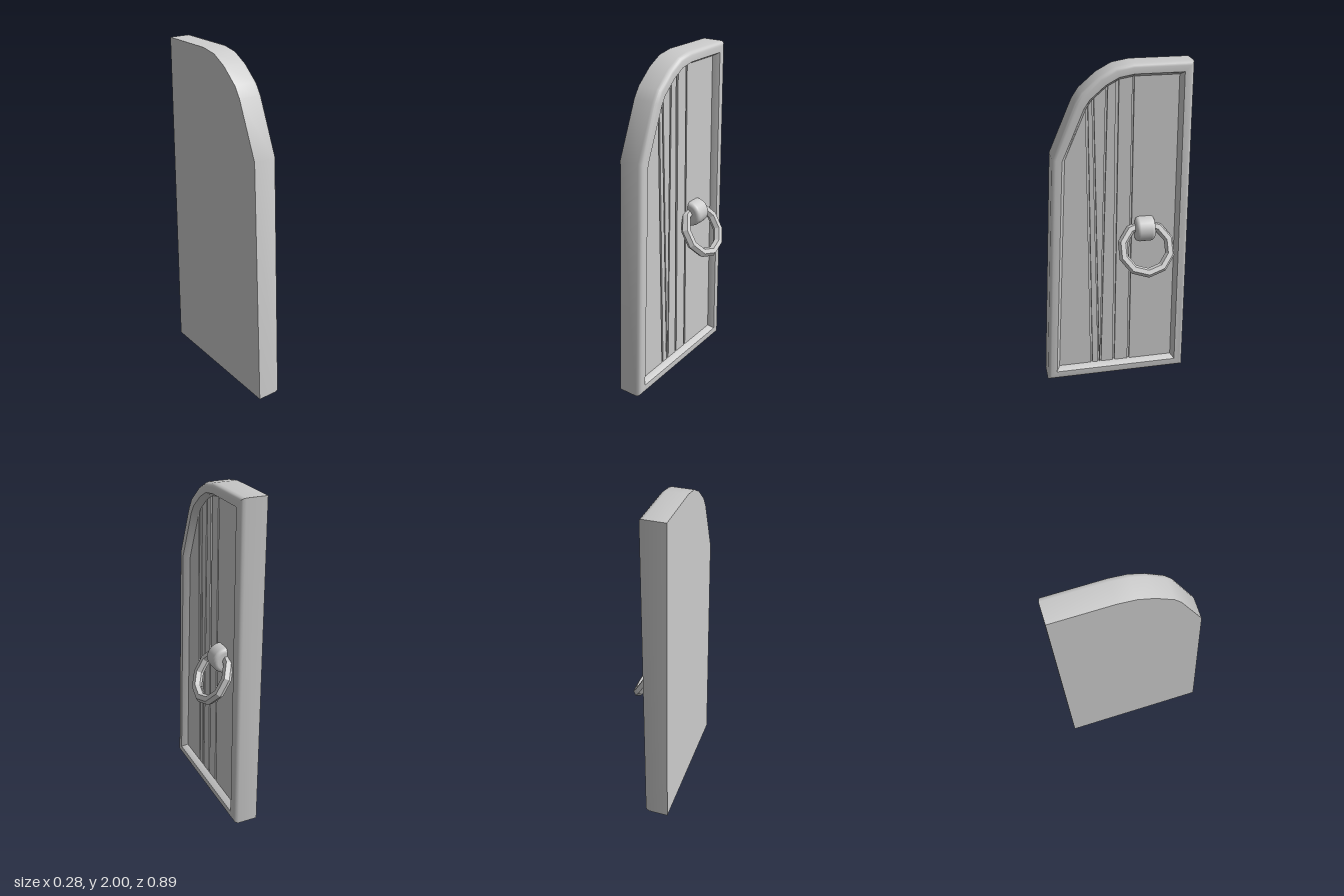
import * as THREE from 'three';
import { toCreasedNormals } from 'three/addons/utils/BufferGeometryUtils.js';

const grey = new THREE.MeshStandardMaterial({ color: 0xcccccc });
const faceted = new THREE.MeshStandardMaterial({ color: 0xcccccc, flatShading: true });

// Door outline, counter-clockwise, seen from the panelled side
const outline = [
  [-0.443, 0], [0.443, 0], [0.443, 2], [0.1, 2], [0, 1.983], [-0.09, 1.935],
  [-0.19, 1.85], [-0.23, 1.79], [-0.365, 1.48],
].map(([x, y]) => new THREE.Vector2(x, y));

// Mitred inset of a convex polygon
function inset(points, d) {
  const n = points.length;
  return points.map((p, i) => {
    const a = p.clone().sub(points[(i + n - 1) % n]).normalize();
    const b = points[(i + 1) % n].clone().sub(p).normalize();
    const na = new THREE.Vector2(-a.y, a.x), nb = new THREE.Vector2(-b.y, b.x);
    return p.clone().addScaledVector(na.clone().add(nb), d / (1 + na.dot(nb)));
  });
}

// Keep the part of a polygon where side(p) >= 0
function clip(points, side) {
  const out = [];
  points.forEach((p, i) => {
    const q = points[(i + 1) % points.length], sp = side(p), sq = side(q);
    if (sp >= 0) out.push(p);
    if (sp * sq < 0) out.push(p.clone().lerp(q, sp / (sp - sq)));
  });
  return out;
}

// Slab with rounded front edge, raised rim and recessed floor
function slabGeometry() {
  const rows = [[0, -0.14], [0, -0.02], [0.004, -0.004], [0.011, 0.004], [0.022, 0.008],
    [0.056, 0.008], [0.076, -0.03], [0.076, -0.044]];
  const n = outline.length, pos = [], idx = [];
  for (const [d, z] of rows) for (const p of inset(outline, d)) pos.push(p.x, p.y, z);
  for (let r = 0; r < rows.length - 1; r++) {
    for (let i = 0; i < n; i++) {
      const a = r * n + i, b = r * n + (i + 1) % n;
      idx.push(a, b, b + n, a, b + n, a + n);
    }
  }
  const last = (rows.length - 1) * n;
  for (let i = 1; i < n - 1; i++) {
    idx.push(0, i + 1, i);
    idx.push(last, last + i, last + i + 1);
  }
  const g = new THREE.BufferGeometry();
  g.setAttribute('position', new THREE.Float32BufferAttribute(pos, 3));
  g.setIndex(idx);
  return toCreasedNormals(g, 0.65);
}

export function createModel() {
  const model = new THREE.Group();
  const door = new THREE.Group();
  door.name = 'door';
  door.rotation.y = Math.PI / 2;
  model.add(door);

  const add = (name, geometry, material = grey) => {
    const mesh = new THREE.Mesh(geometry, material);
    mesh.name = name;
    door.add(mesh);
    return mesh;
  };

  add('doorSlab', slabGeometry());

  // Planks separated by slanting grooves: [left, right] at the foot and at the top
  const grooves = [
    [-0.16, -0.148, -0.166, -0.152],
    [-0.112, -0.104, -0.13, -0.119],
    [-0.1, -0.092, -0.05, -0.038],
    [-0.016, -0.004, 0.005, 0.024],
    [0.08, 0.093, 0.099, 0.11],
  ];
  const floor = inset(outline, 0.076);
  const line = (foot, top) => (p) => p.x - (foot + (top - foot) * (p.y - 0.08) / 1.84);
  for (let i = 0; i <= grooves.length; i++) {
    let shape = floor;
    if (i > 0) shape = clip(shape, line(grooves[i - 1][1], grooves[i - 1][3]));
    if (i < grooves.length) {
      const side = line(grooves[i][0], grooves[i][2]);
      shape = clip(shape, (p) => -side(p));
    }
    const g = new THREE.ExtrudeGeometry(new THREE.Shape(shape), { depth: 0.014, bevelEnabled: false });
    g.translate(0, 0, -0.044);
    add('plank' + (i + 1), g);
  }

  // Round-edged barrel that holds the pull ring
  const half = 0.058, radius = 0.078, corner = 0.024;
  const profile = [new THREE.Vector2(0, -half)];
  for (const s of [-1, 1]) {
    for (let k = 0; k <= 4; k++) {
      const t = (s < 0 ? k : 4 - k) / 4 * Math.PI / 2;
      profile.push(new THREE.Vector2(radius - corner + corner * Math.sin(t),
        s * (half - corner + corner * Math.cos(t))));
    }
  }
  profile.push(new THREE.Vector2(0, half));
  const barrel = new THREE.LatheGeometry(profile, 24);
  barrel.rotateZ(Math.PI / 2);
  add('ringMount', barrel).position.set(0.178, 1.003, -0.025);

  // Ten-sided pull ring hanging outwards
  const ring = new THREE.TorusGeometry(0.148, 0.029, 6, 10);
  ring.rotateZ(Math.PI / 10);
  const pull = add('pullRing', ring, faceted);
  pull.position.set(0.178, 0.897, 0.038);
  pull.rotation.x = -Math.PI / 6;

  return model;
}
